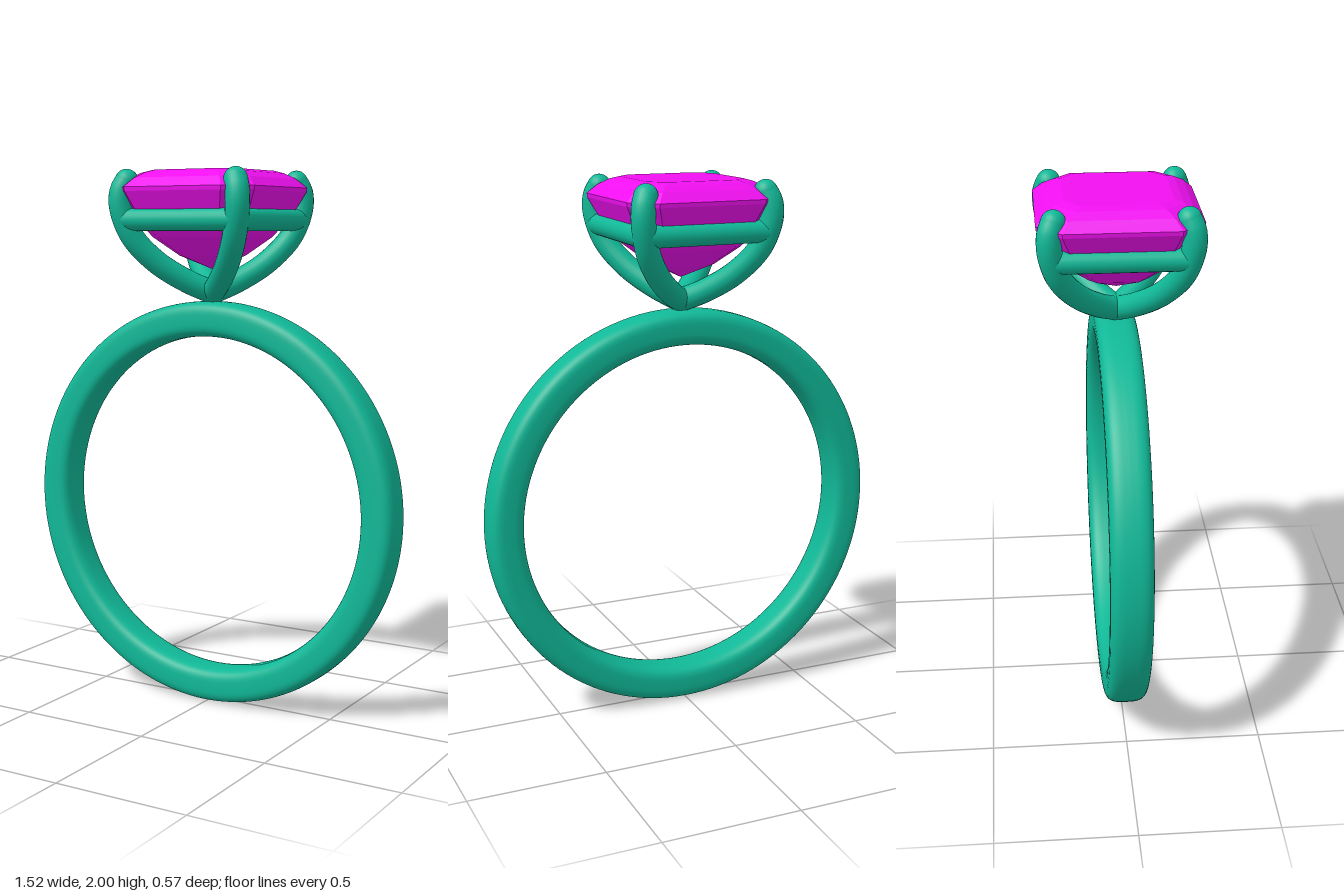
import * as THREE from 'three';

const metal = new THREE.MeshStandardMaterial({ color: 0x10b897 });
const stone = new THREE.MeshStandardMaterial({ color: 0xf010f0, flatShading: true });

function add(parent, name, geometry, material) {
  const mesh = new THREE.Mesh(geometry, material);
  mesh.name = name;
  parent.add(mesh);
  return mesh;
}

// Band: a soft-cornered rectangular section spun around the z axis
function bandGeometry() {
  const points = [];
  const soft = (v) => Math.sign(v) * Math.pow(Math.abs(v), 0.6);
  for (let i = 0; i <= 48; i++) {
    const a = (i / 48) * Math.PI * 2;
    points.push(new THREE.Vector2(0.695 + 0.065 * soft(Math.cos(a)), 0.075 * soft(Math.sin(a))));
  }
  return new THREE.LatheGeometry(points, 128).rotateX(Math.PI / 2);
}

// Step-cut gem: stacked cut-corner squares, given as [half width, height]
function gemGeometry() {
  const levels = [
    [0, 1.64], [0.1, 1.69], [0.18, 1.757], [0.24, 1.835], [0.283, 1.92],
    [0.285, 1.935], [0.25, 1.968], [0.215, 1.988], [0.185, 1.997], [0, 1.997],
  ];
  const corners = [[1, 0.7], [0.7, 1], [-0.7, 1], [-1, 0.7], [-1, -0.7], [-0.7, -1], [0.7, -1], [1, -0.7]];
  const position = [];
  const point = (l, c) => {
    const [r, y] = levels[l];
    const [x, z] = corners[c % 8];
    return [x * r, y, z * r];
  };
  for (let l = 0; l < levels.length - 1; l++) {
    for (let c = 0; c < 8; c++) {
      const a = point(l, c), b = point(l, c + 1), d = point(l + 1, c), e = point(l + 1, c + 1);
      if (levels[l][0] > 0) position.push(...a, ...d, ...b);
      if (levels[l + 1][0] > 0) position.push(...b, ...d, ...e);
    }
  }
  const geometry = new THREE.BufferGeometry();
  geometry.setAttribute('position', new THREE.Float32BufferAttribute(position, 3));
  geometry.computeVertexNormals();
  return geometry;
}

export function createModel() {
  const ring = new THREE.Group();
  ring.name = 'ring';

  add(ring, 'band', bandGeometry(), metal).position.y = 0.763;
  add(ring, 'gem', gemGeometry(), stone);

  // Four claws rise from the band to the gem corners, with rounded ends
  const clawRadius = 0.043;
  const clawPath = [[0, 1.555], [0.07, 1.598], [0.15, 1.668], [0.213, 1.76], [0.241, 1.86], [0.24, 1.92], [0.226, 1.957]];
  const setting = new THREE.Group();
  setting.name = 'setting';
  ring.add(setting);
  for (const sx of [1, -1]) {
    for (const sz of [1, -1]) {
      const claw = new THREE.Group();
      claw.name = 'claw';
      setting.add(claw);
      const path = new THREE.CatmullRomCurve3(clawPath.map(([d, y]) => new THREE.Vector3(d * sx, y, d * sz)));
      add(claw, 'clawArm', new THREE.TubeGeometry(path, 40, clawRadius, 20), metal);
      for (const t of [0, 1]) {
        add(claw, t ? 'clawTip' : 'clawBase', new THREE.SphereGeometry(clawRadius, 20, 14), metal)
          .position.copy(path.getPoint(t));
      }
    }
  }

  // Square gallery rail joining the claws below the girdle
  for (let i = 0; i < 4; i++) {
    const rail = new THREE.CylinderGeometry(0.04, 0.04, 0.47, 20);
    rail.rotateZ(Math.PI / 2).translate(0, 1.82, 0.235).rotateY((i * Math.PI) / 2);
    add(setting, 'galleryRail', rail, metal);
  }

  return ring;
}
